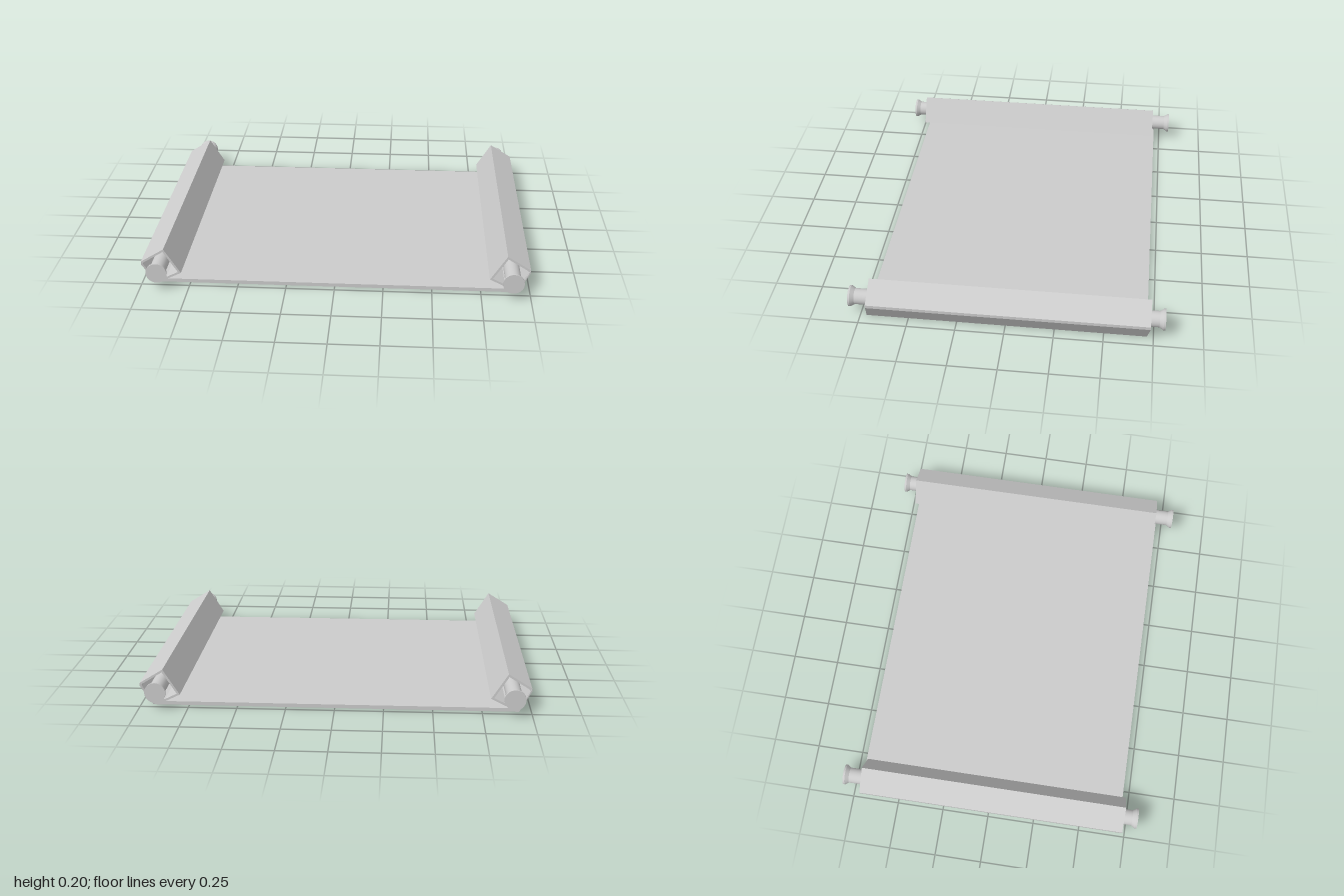
import * as THREE from 'three';

const HALF_LENGTH = 0.717; // half width of the sheet along z
const WALL = 0.011;        // thickness of the rolled edge
const SKEW = -0.014;       // slight sideways drift of the rolled edge

const material = new THREE.MeshStandardMaterial({ color: 0xcccccc, flatShading: true, side: THREE.DoubleSide });
const smooth = new THREE.MeshStandardMaterial({ color: 0xcccccc, side: THREE.DoubleSide });

function addMesh(parent, name, geometry, mat = material) {
  const mesh = new THREE.Mesh(geometry, mat);
  mesh.name = name;
  parent.add(mesh);
  return mesh;
}

// Extrude a closed outline along z, centred on z = 0
function extrudeZ(points) {
  const geometry = new THREE.ExtrudeGeometry(new THREE.Shape(points), { depth: 2 * HALF_LENGTH, bevelEnabled: false });
  return geometry.translate(0, 0, -HALF_LENGTH);
}

// Offset an open path to its left by a distance, with mitred corners
function offsetPath(path, distance) {
  const normals = path.slice(1).map((p, i) => {
    const d = p.clone().sub(path[i]).normalize();
    return new THREE.Vector2(-d.y, d.x);
  });
  return path.map((p, i) => {
    const a = normals[Math.max(i - 1, 0)];
    const b = normals[Math.min(i, normals.length - 1)];
    return p.clone().add(a.clone().add(b).multiplyScalar(distance / (1 + a.dot(b))));
  });
}

// Angular rolled edge of the sheet, folded inwards and drifting along z
function rolledEdge() {
  const outer = [[0.938, 0], [1, 0.105], [1, 0.122], [0.879, 0.197], [0.795, 0.062], [0.87, 0.025], [0.92, 0.027]]
    .map(([x, y]) => new THREE.Vector2(x, y));
  const inner = offsetPath(outer, WALL);
  const geometry = extrudeZ([...outer, ...inner.reverse()]);
  const pos = geometry.attributes.position;
  for (let i = 0; i < pos.count; i++) {
    const rise = pos.getX(i) > 0.925 ? Math.min(pos.getY(i) / 0.105, 1) : 1;
    pos.setZ(i, pos.getZ(i) + SKEW * rise);
  }
  geometry.computeVertexNormals();
  return geometry;
}

// Roller rod with a flared knob at both ends
function addRod(parent) {
  const rod = new THREE.Group();
  rod.name = 'rod';
  rod.position.set(0.907, 0.097, 0);
  const shaft = addMesh(rod, 'rodShaft', new THREE.CylinderGeometry(0.041, 0.041, 1.57, 32), smooth);
  shaft.rotation.x = Math.PI / 2;
  for (const side of [1, -1]) {
    const flare = addMesh(rod, 'rodKnob', new THREE.CylinderGeometry(0.054, 0.041, 0.02, 32), smooth);
    flare.rotation.x = side * Math.PI / 2;
    flare.position.z = side * 0.785;
    const rim = addMesh(rod, 'rodKnobRim', new THREE.CylinderGeometry(0.054, 0.054, 0.01, 32), smooth);
    rim.rotation.x = Math.PI / 2;
    rim.position.z = side * 0.8;
  }
  parent.add(rod);
}

export function createModel() {
  const scroll = new THREE.Group();
  scroll.name = 'scroll';

  // Flat sheet
  const outline = [[-0.938, 0], [0.938, 0], [0.948, 0.019], [-0.948, 0.019]].map(([x, y]) => new THREE.Vector2(x, y));
  addMesh(scroll, 'sheet', extrudeZ(outline));

  // Two ends, each a half turn of the other
  for (const [name, angle] of [['leftEnd', 0], ['rightEnd', Math.PI]]) {
    const end = new THREE.Group();
    end.name = name;
    end.rotation.y = angle;
    addMesh(end, 'rolledEdge', rolledEdge());
    addRod(end);
    scroll.add(end);
  }
  return scroll;
}
